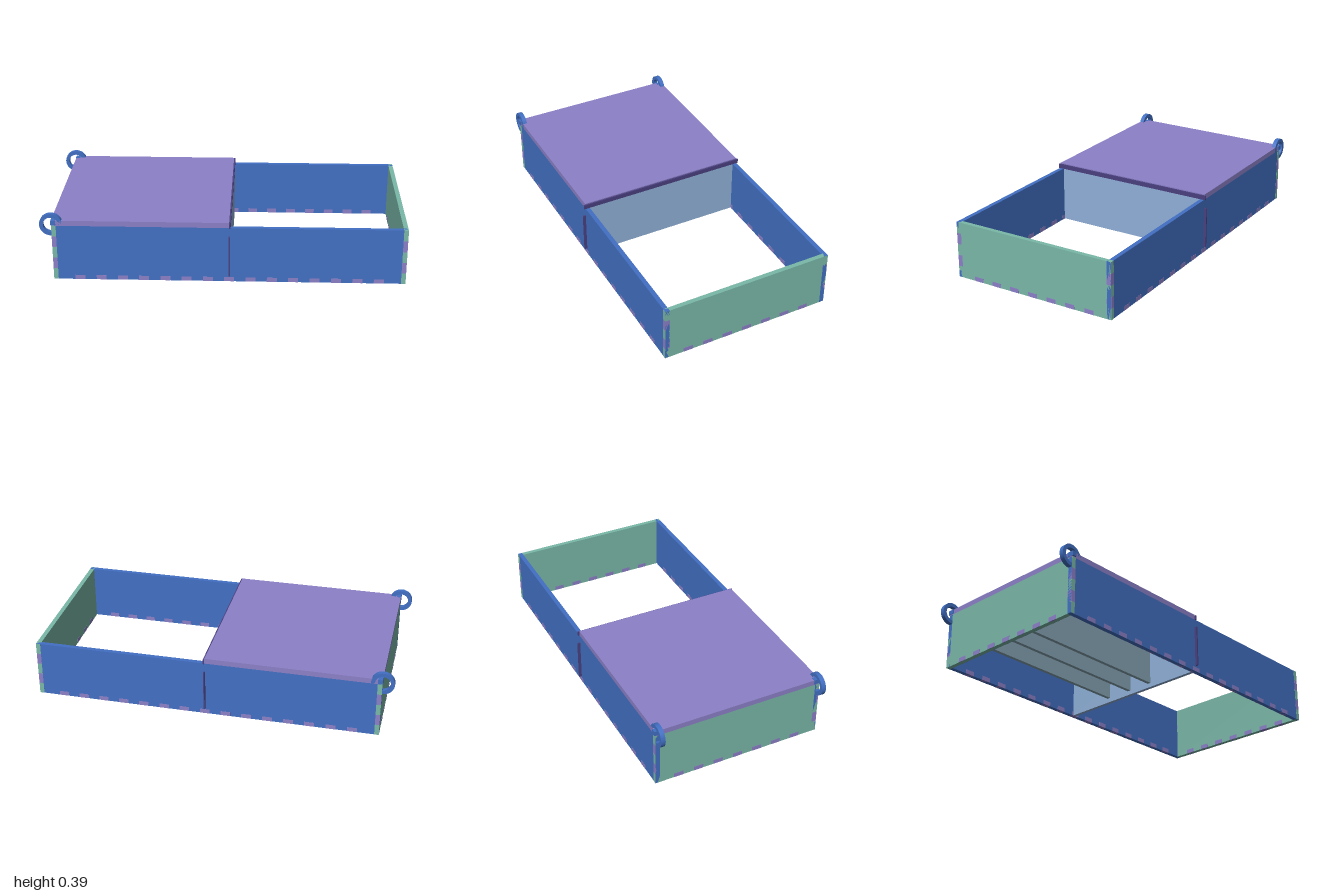
import * as THREE from 'three';

const mats = {
  blue: 0x4270c4, teal: 0x7ab8a8, purple: 0x8c80c8, dark: 0x4a4080, light: 0x8fb0d8, slate: 0x86a6b4,
};
for (const k in mats) mats[k] = new THREE.MeshStandardMaterial({ color: mats[k] });

// Box given by its lower and upper corner
function slab(parent, name, mat, [x0, y0, z0], [x1, y1, z1]) {
  const mesh = new THREE.Mesh(new THREE.BoxGeometry(x1 - x0, y1 - y0, z1 - z0), mats[mat]);
  mesh.position.set((x0 + x1) / 2, (y0 + y1) / 2, (z0 + z1) / 2);
  mesh.name = name;
  parent.add(mesh);
  return mesh;
}

export function createModel() {
  const model = new THREE.Group();
  model.name = 'partitionedBox';

  const L = -0.935, R = 0.995;   // outer ends
  const Z = 0.485, T = 0.025;    // half depth, board thickness
  const H = 0.32, MID = 0.03;    // wall height, partition position
  const E = 0.001;               // joint tabs stand slightly proud
  const PITCH = 0.117, TAB = 0.055;

  // Long walls with bottom tabs and finger-jointed corners
  for (const s of [1, -1]) {
    const wall = new THREE.Group();
    wall.name = s > 0 ? 'frontWall' : 'backWall';
    model.add(wall);
    const z0 = s > 0 ? Z - T : -Z, z1 = z0 + T;
    slab(wall, 'longBoard', 'blue', [L, 0, z0], [R, H, z1]);
    for (let k = -7; k <= 7; k++) {
      const x = MID + k * PITCH;
      slab(wall, 'bottomTab', 'purple', [x - TAB / 2, 0, z0 - E], [x + TAB / 2, T, z1 + E]);
    }
    for (const x of [L, R - T]) {
      for (let i = 0; i < 5; i++) {
        slab(wall, 'cornerFinger', i % 2 ? 'purple' : 'teal',
          [x, i * H / 5, z0 - E], [x + T, (i + 1) * H / 5, z1 + E]);
      }
    }
  }

  // End walls with bottom tabs
  for (const [name, x] of [['rightWall', R - T], ['leftWall', L]]) {
    const wall = new THREE.Group();
    wall.name = name;
    model.add(wall);
    slab(wall, 'endBoard', 'teal', [x, 0, -Z + T], [x + T, H, Z - T]);
    for (let k = -3; k <= 3; k++) {
      const z = k * PITCH;
      slab(wall, 'bottomTab', 'purple', [x - E, 0, z - TAB / 2], [x + T + E, T, z + TAB / 2]);
    }
  }

  // Cross partition, its end tabs and the strip along the lid edge
  slab(model, 'partition', 'light', [MID - 0.015, 0, -Z + T], [MID + 0.005, H, Z - T]);
  for (const s of [1, -1]) {
    const z = s * 0.48;
    slab(model, 'partitionTab', 'dark', [MID - 0.004, 0.035, z - 0.02], [MID + 0.004, 0.27, z + 0.02]);
  }
  slab(model, 'lidEdgeStrip', 'dark', [MID, H, -0.493], [MID + 0.008, 0.345, 0.493]);

  // Lengthwise dividers below the lid
  for (const z of [-0.165, -0.005, 0.15]) {
    slab(model, 'divider', 'slate', [L + T, T, z - 0.01], [MID - 0.015, H, z + 0.01]);
  }

  // Lid over the left half
  slab(model, 'lid', 'purple', [L, H, -Z], [MID, 0.35, Z]);

  // Flat hinge rings with a square pin
  const ringShape = new THREE.Shape().absarc(0, 0, 0.063, 0, Math.PI * 2);
  ringShape.holes.push(new THREE.Path().absarc(0, 0, 0.042, 0, Math.PI * 2, true));
  const ringGeo = new THREE.ExtrudeGeometry(ringShape, { depth: T, bevelEnabled: false, curveSegments: 32 });
  ringGeo.translate(0, 0, -T / 2);
  for (const s of [1, -1]) {
    const hinge = new THREE.Group();
    hinge.name = s > 0 ? 'frontHinge' : 'backHinge';
    hinge.position.set(-0.937, 0.325, s * (Z - T / 2));
    const ring = new THREE.Mesh(ringGeo, mats.blue);
    ring.name = 'hingeRing';
    hinge.add(ring);
    slab(hinge, 'hingePin', 'blue', [0, 0, -0.02], [0.026, 0.026, 0.02]);
    model.add(hinge);
  }
  return model;
}
